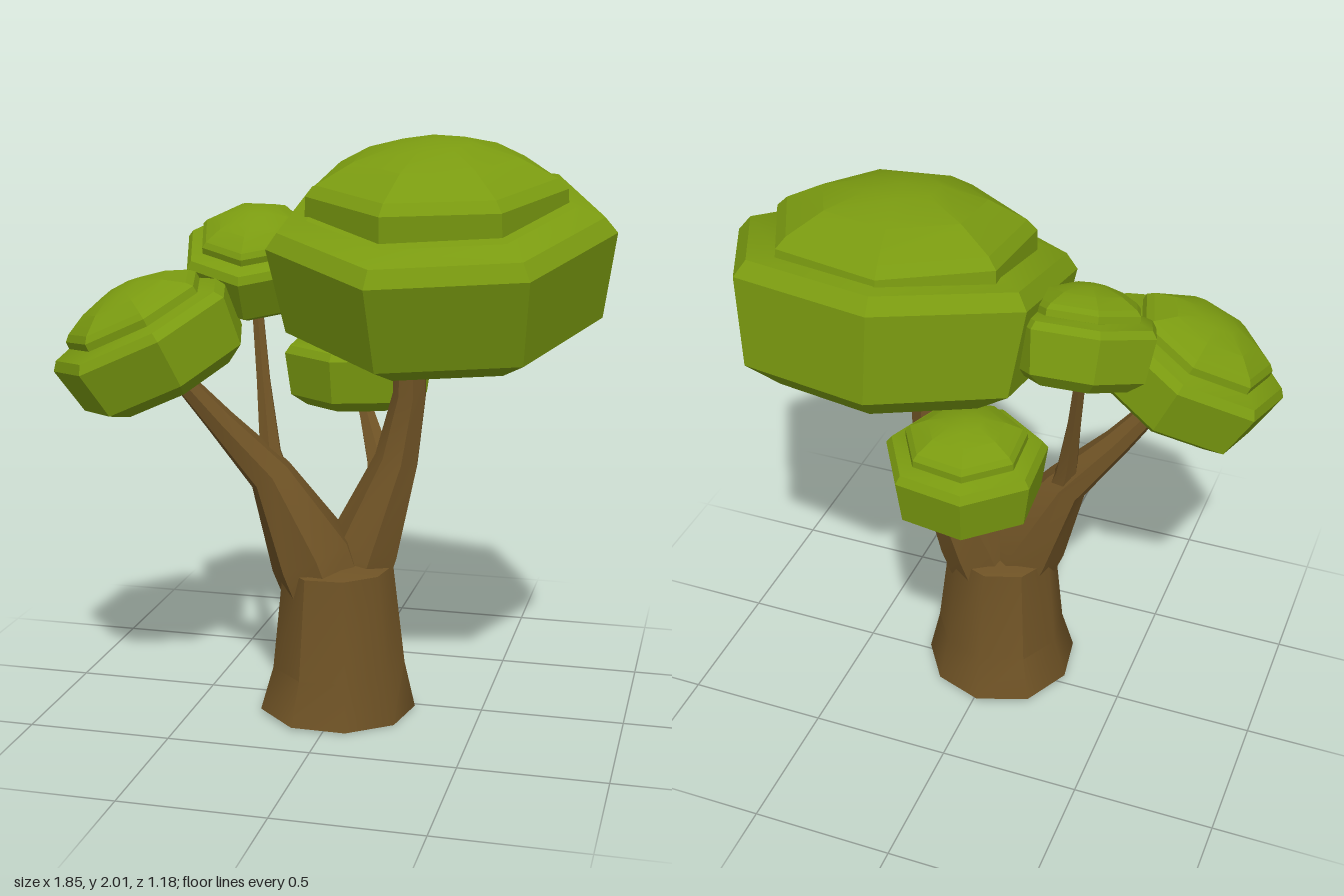
import * as THREE from 'three';
import { toCreasedNormals } from 'three/addons/utils/BufferGeometryUtils.js';

// Lofts n-sided rings [x, y, z, radius] along a spine; radius 0 closes an end.
function loft(rings, n, crease, turn = 0, wobble = 0) {
  const up = new THREE.Vector3(0, 1, 0);
  const centres = rings.map(([x, y, z]) => new THREE.Vector3(x, y, z));
  const points = rings.map((ring, i) => {
    const before = centres[Math.max(i - 1, 0)];
    const after = centres[Math.min(i + 1, rings.length - 1)];
    const dir = after.clone().sub(before);
    const tilt = new THREE.Quaternion();
    if (dir.length() > 1e-6) tilt.setFromUnitVectors(up, dir.normalize());
    return Array.from({ length: n }, (_, j) => {
      const a = turn + (j / n) * Math.PI * 2;
      const r = ring[3] * (1 + wobble * Math.cos(3 * a));
      return new THREE.Vector3(Math.cos(a) * r, 0, Math.sin(a) * r)
        .applyQuaternion(tilt).add(centres[i]);
    });
  });
  const pos = [];
  const tri = (...corners) => corners.forEach((p) => pos.push(p.x, p.y, p.z));
  for (let i = 0; i < rings.length - 1; i++) {
    for (let j = 0; j < n; j++) {
      const k = (j + 1) % n;
      const [a, b, c, d] = [points[i][j], points[i + 1][j], points[i + 1][k], points[i][k]];
      if (rings[i + 1][3] > 0) tri(b, c, d);
      if (rings[i][3] > 0) tri(a, b, d);
    }
  }
  const geometry = new THREE.BufferGeometry();
  geometry.setAttribute('position', new THREE.Float32BufferAttribute(pos, 3));
  geometry.computeVertexNormals();
  return toCreasedNormals(geometry, crease);
}

// Canopy profiles for unit radius: [radius, height]
const skirtProfile = [
  [0, -0.49], [0.7, -0.48], [0.92, -0.34], [1, 0.18], [0.93, 0.27], [0.76, 0.32], [0, 0.32],
];
const crownProfile = [
  [0.76, 0.2], [0.75, 0.4], [0.69, 0.46], [0.47, 0.575], [0.22, 0.65], [0, 0.67],
];

export function createModel() {
  const tree = new THREE.Group();
  tree.name = 'tree';
  const bark = new THREE.MeshStandardMaterial({ color: 0x6e5225 });
  bark.name = 'bark brown';
  const leaf = new THREE.MeshStandardMaterial({ color: 0x7a9a10 });
  leaf.name = 'leaf green';

  const add = (parent, name, geometry, material) => {
    const mesh = new THREE.Mesh(geometry, material);
    mesh.name = name;
    parent.add(mesh);
    return mesh;
  };

  // Flared trunk, closed below and above
  add(tree, 'trunk', loft([
    [-0.015, 0, 0.068, 0], [-0.015, 0, 0.068, 0.277], [-0.01, 0.16, 0.07, 0.235],
    [-0.01, 0.52, 0.08, 0.195], [-0.01, 0.57, 0.08, 0],
  ], 9, 0.75, 0.52, 0.02), bark);

  // Branches
  const branch = (name, rings, sides = 7) => add(tree, name, loft(rings, sides, 0.6, 0.3), bark);
  branch('mainBranch', [
    [0.03, 0.42, 0.04, 0.13], [0.08, 0.58, 0.02, 0.13], [0.18, 0.88, -0.035, 0.08],
    [0.225, 1.12, -0.03, 0.06], [0.225, 1.36, -0.03, 0.055],
  ]);
  branch('rightBranch', [
    [-0.04, 0.42, 0.1, 0.15], [-0.09, 0.56, 0.11, 0.155], [-0.235, 0.84, 0.12, 0.08],
    [-0.4, 1.03, 0.165, 0.052], [-0.58, 1.26, 0.24, 0.028],
  ]);
  branch('thinBranch', [
    [-0.21, 0.78, 0.11, 0.06], [-0.245, 0.92, 0.09, 0.04],
    [-0.285, 1.16, 0.03, 0.026], [-0.325, 1.45, -0.03, 0.02],
  ], 6);
  branch('backBranch', [
    [0.14, 0.72, 0.0, 0.075], [0.1, 0.84, -0.12, 0.05], [0.03, 0.97, -0.24, 0.033],
    [-0.02, 1.08, -0.31, 0.025],
  ], 6);

  // Stepped, seven-sided canopies:
  // name, centre, radius, height scale, tilts, turn, crown offset and lean
  const canopies = [
    ['largeCanopy', [0.325, 1.6, -0.03], 0.595, 0.98, 0.23, 0, 0, [-0.02, -0.035, -0.09]],
    ['rightCanopy', [-0.605, 1.32, 0.275], 0.342, 0.95, 0.2, 0.42, 0.14, [0, 0, 0]],
    ['middleCanopy', [-0.33, 1.565, -0.055], 0.26, 1.08, 0.4, -0.03, 0.64, [0, 0, 0]],
    ['backCanopy', [-0.03, 1.16, -0.325], 0.275, 1.07, 0, 0, -0.08, [0, 0, 0]],
  ];
  for (const [name, centre, radius, tall, tiltX, tiltZ, turn, [dx, dz, lean]] of canopies) {
    const canopy = new THREE.Group();
    canopy.name = name;
    const rings = (profile) => profile.map(([r, h]) => [0, h * radius * tall, 0, r * radius]);
    add(canopy, 'skirt', loft(rings(skirtProfile), 7, 0.3, turn), leaf);
    const crown = add(canopy, 'crown', loft(rings(crownProfile), 7, 0.3, turn), leaf);
    crown.position.set(dx, 0, dz);
    crown.rotation.x = lean;
    canopy.position.set(...centre);
    canopy.rotation.set(tiltX, 0, tiltZ);
    tree.add(canopy);
  }
  return tree;
}
